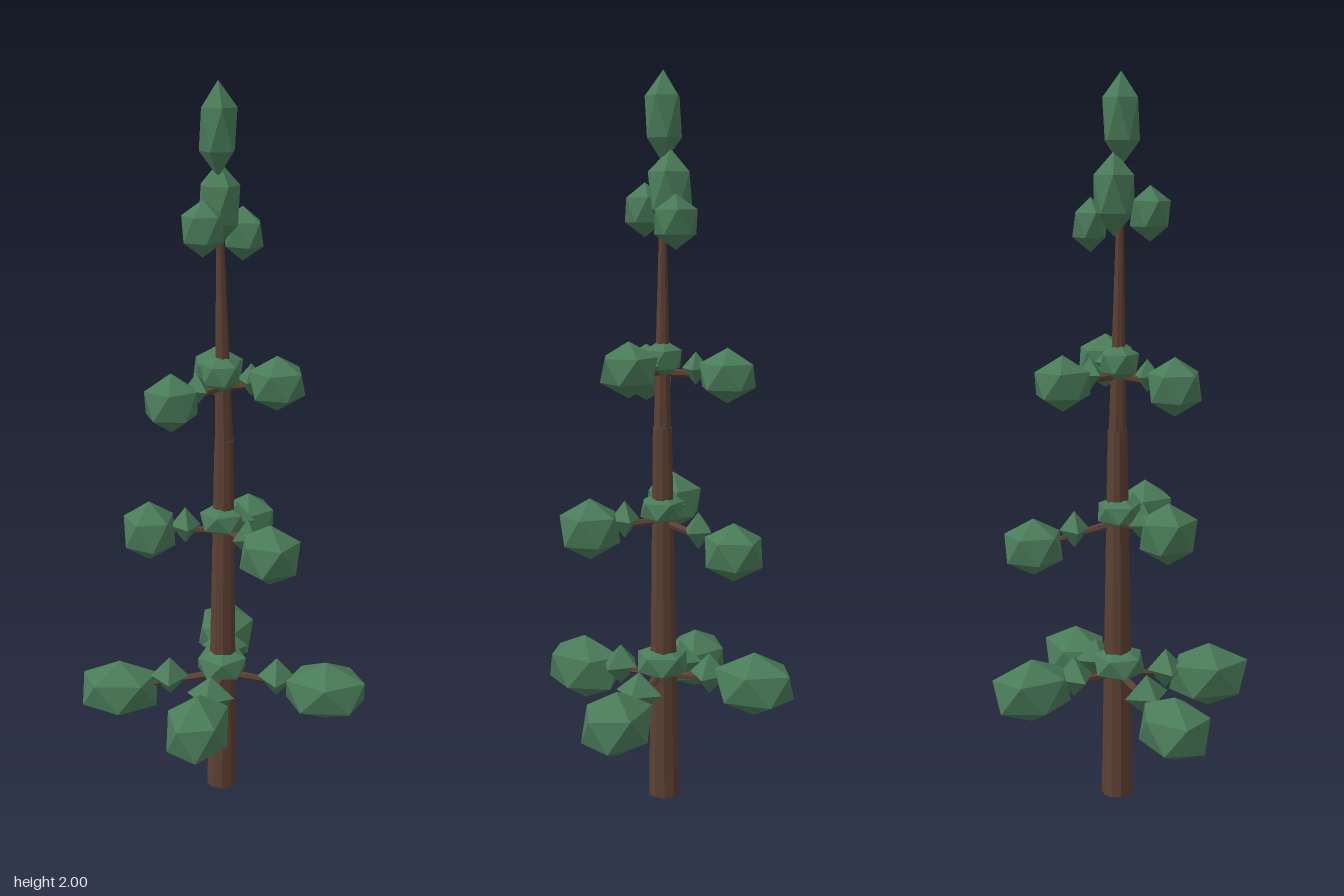
import * as THREE from 'three';

const bark = new THREE.MeshStandardMaterial({ color: 0x5c4033, flatShading: true });
bark.name = 'bark brown';
const needles = new THREE.MeshStandardMaterial({ color: 0x4a7c59, flatShading: true });
needles.name = 'foliage green';

// icosahedron standing on a vertex, with an upright edge facing +x
const clumpGeo = new THREE.IcosahedronGeometry(1, 0)
  .rotateZ(Math.atan2(2, 1 + Math.sqrt(5))).rotateY(Math.PI / 10);
const tuftGeo = new THREE.OctahedronGeometry(1, 0);

function leaf(name, geo, pos, size, yaw = 0) {
  const m = new THREE.Mesh(geo, needles);
  m.name = name;
  m.position.set(...pos);
  m.scale.set(...size);
  m.rotation.y = yaw;
  return m;
}

// tapered stick between two points
function stick(name, a, b, r0, r1, sides) {
  const from = new THREE.Vector3(...a), dir = new THREE.Vector3(...b).sub(from);
  const m = new THREE.Mesh(new THREE.CylinderGeometry(r1, r0, dir.length(), sides), bark);
  m.name = name;
  m.position.copy(from).addScaledVector(dir, 0.5);
  m.quaternion.setFromUnitVectors(new THREE.Vector3(0, 1, 0), dir.normalize());
  return m;
}

// each tier: collar height and size, tuft size, then clump [position, [along, up, across]]
const tiers = [
  { y: 0.39, collar: [0.08, 0.055, 0.08], tuft: [0.055, 0.058, 0.068], root: 0.36, clumps: [
    [[-0.30, 0.305, -0.01], [0.125, 0.088, 0.098]],
    [[0.29, 0.315, 0.03], [0.132, 0.088, 0.098]],
    [[-0.075, 0.325, 0.26], [0.13, 0.095, 0.093]],
    [[0.01, 0.36, -0.27], [0.125, 0.09, 0.093]],
  ] },
  { y: 0.83, collar: [0.068, 0.048, 0.068], tuft: [0.042, 0.052, 0.052], root: 0.8, clumps: [
    [[-0.205, 0.81, 0.03], [0.08, 0.085, 0.09]],
    [[0.12, 0.79, 0.165], [0.092, 0.085, 0.09]],
    [[0.075, 0.745, -0.225], [0.09, 0.08, 0.085]],
  ] },
  { y: 1.245, collar: [0.06, 0.055, 0.06], tuft: [0.038, 0.045, 0.048], root: 1.21, clumps: [
    [[-0.14, 1.19, 0.09], [0.08, 0.08, 0.082]],
    [[0.14, 1.23, 0.045], [0.084, 0.075, 0.085]],
    [[-0.015, 1.205, -0.18], [0.086, 0.075, 0.08]],
  ] },
];

export function createModel() {
  const tree = new THREE.Group();
  tree.name = 'tree';

  // trunk in two lengths
  tree.add(stick('lowerTrunk', [-0.006, 0, -0.006], [0, 1.06, -0.002], 0.045, 0.027, 10));
  tree.add(stick('upperTrunk', [0, 1.04, -0.002], [-0.012, 1.75, 0], 0.025, 0.007, 8));

  // whorls of branches with foliage
  tiers.forEach((t, i) => {
    const whorl = new THREE.Group();
    whorl.name = `branchTier${i + 1}`;
    whorl.add(leaf('collar', clumpGeo, [-0.006, t.y, 0], t.collar, i));
    for (const [p, size] of t.clumps) {
      const yaw = -Math.atan2(p[2], p[0]);
      const mid = [p[0] * 0.52, (t.root + p[1]) / 2 + 0.015, p[2] * 0.52];
      whorl.add(stick('branch', [0, t.root, 0], p, 0.012, 0.006, 6));
      whorl.add(leaf('tuft', tuftGeo, mid, t.tuft, yaw));
      whorl.add(leaf('clump', clumpGeo, p, size, yaw));
    }
    tree.add(whorl);
  });

  // crown
  const crown = new THREE.Group();
  crown.name = 'crown';
  crown.add(leaf('crownLeft', clumpGeo, [0.05, 1.61, -0.055], [0.053, 0.072, 0.068], Math.PI / 4));
  crown.add(leaf('crownRight', clumpGeo, [-0.055, 1.64, 0.065], [0.06, 0.073, 0.062], Math.PI / 4));
  crown.add(leaf('crownBase', clumpGeo, [-0.012, 1.69, -0.02], [0.06, 0.11, 0.066], 0.4));
  crown.add(leaf('tip', clumpGeo, [-0.015, 1.88, 0], [0.055, 0.12, 0.055], 0.2));
  tree.add(crown);
  return tree;
}
